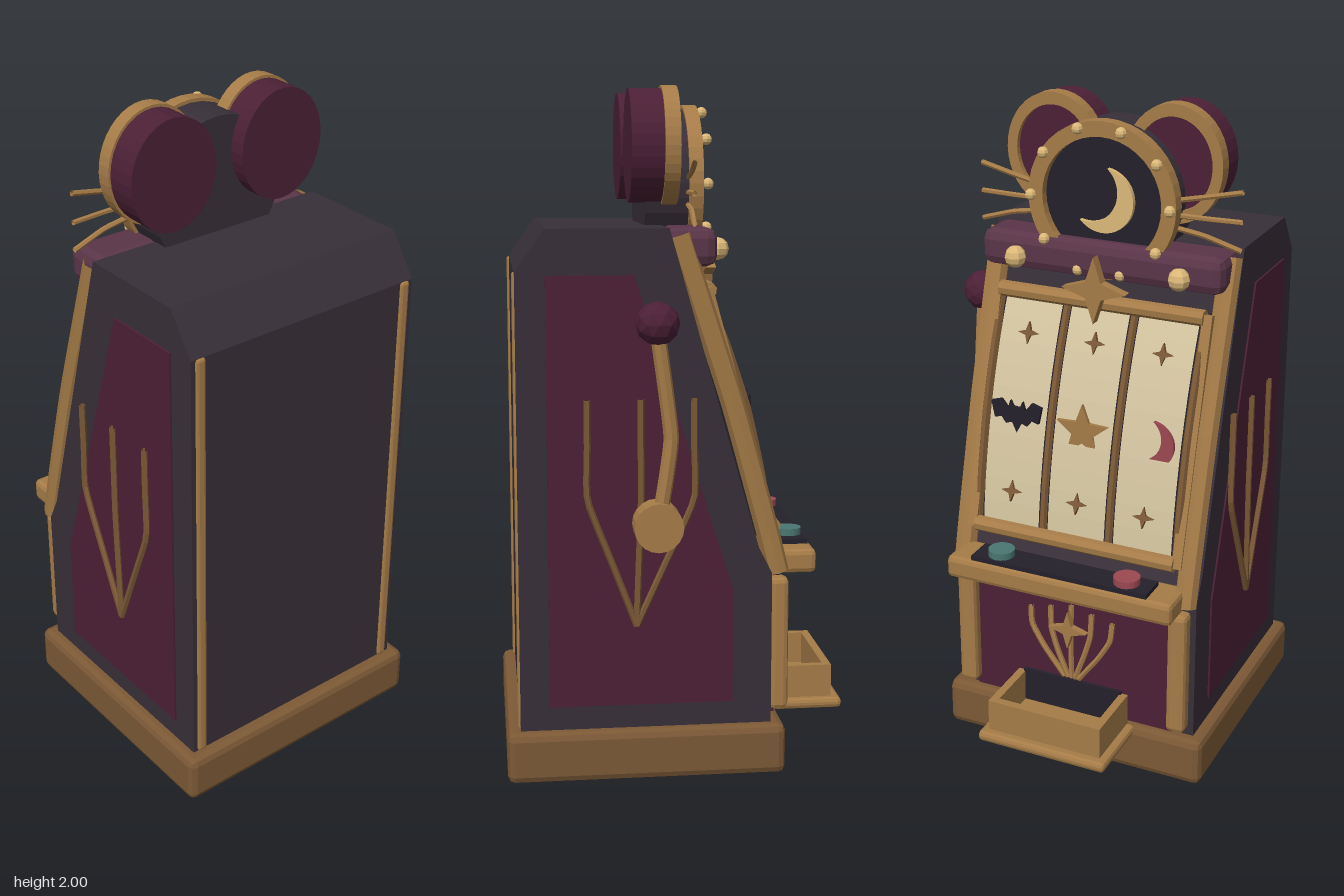
import * as THREE from 'three';
import { RoundedBoxGeometry } from 'three/addons/geometries/RoundedBoxGeometry.js';

const mat = (color, side = THREE.DoubleSide) => new THREE.MeshStandardMaterial({ color, side, flatShading: true });
const gold = mat(0xa67c48), bronze = mat(0x7c5936), dark = mat(0x382f38), plum = mat(0x4c2036);
const wine = mat(0x5a3548), black = mat(0x24202b), cream = mat(0xd4c5a0), brass = mat(0xdcb878);
const rose = mat(0x9c4852), teal = mat(0x4a7672);

const V = (x, y, z) => new THREE.Vector3(x, y, z);
const box = (w, h, d, bevel = 0) =>
  bevel ? new RoundedBoxGeometry(w, h, d, 1, bevel) : new THREE.BoxGeometry(w, h, d);
const disc = (r, depth, n = 32) => new THREE.CylinderGeometry(r, r, depth, n).rotateX(Math.PI / 2);
const ball = (r) => new THREE.SphereGeometry(r, 8, 6);
const plate = (shape, depth) =>
  new THREE.ExtrudeGeometry(shape, { depth, bevelEnabled: false, curveSegments: 20 }).translate(0, 0, -depth / 2);
const poly = (pts) => new THREE.Shape(pts.map(([x, y]) => new THREE.Vector2(x, y)));
// Side profile given as [z, y], extruded across the width
const sideProfile = (pts, width) => plate(poly(pts), width).rotateY(-Math.PI / 2);
const tube = (pts, r, n = 8, segs = 20) =>
  new THREE.TubeGeometry(new THREE.CatmullRomCurve3(pts, false, 'catmullrom', 0.25), segs, r, n);

function starShape(points, R, r) {
  const pts = [];
  for (let i = 0; i < points * 2; i++) {
    const a = Math.PI / 2 + (i * Math.PI) / points, q = i % 2 ? r : R;
    pts.push([q * Math.cos(a), q * Math.sin(a)]);
  }
  return poly(pts);
}
function crescentShape(R) {
  const s = new THREE.Shape();
  s.absarc(0, 0, R, -1.92, 1.92, false);
  s.absarc(-0.55 * R, 0, 0.963 * R, 1.353, -1.353, true);
  return s;
}
function ringShape(R, r) {
  const s = new THREE.Shape().absarc(0, 0, R, 0, Math.PI * 2, false);
  s.holes.push(new THREE.Path().absarc(0, 0, r, 0, Math.PI * 2, true));
  return s;
}
function batShape() {
  const half = [[0.012, 0.032], [0.02, 0.05], [0.028, 0.022], [0.05, 0.05], [0.083, 0.04],
    [0.072, -0.012], [0.05, -0.005], [0.035, -0.025], [0.015, -0.018]];
  const left = half.map(([x, y]) => [-x, y]).reverse();
  return poly([...half, [0, -0.05], ...left, [0, 0.03]]);
}

export function createModel() {
  const root = new THREE.Group();
  root.name = 'slotMachine';
  // The machine is built facing +z, then turned so its reels face -z
  const m = new THREE.Group();
  m.name = 'machine';
  m.rotation.y = Math.PI;
  m.position.x = -0.055;
  root.add(m);
  const add = (name, geo, material, x = 0, y = 0, z = 0, parent = m) => {
    const mesh = new THREE.Mesh(geo, material);
    mesh.name = name;
    mesh.position.set(x, y, z);
    parent.add(mesh);
    return mesh;
  };

  // Plinth and cabinet
  add('base', box(0.86, 0.15, 0.815, 0.022), bronze, 0, 0.075, -0.107);
  add('cabinet', sideProfile([[-0.475, 0.14], [-0.475, 1.48], [-0.39, 1.6], [-0.04, 1.6],
    [0.22, 0.68], [0.26, 0.6], [0.26, 0.14]], 0.785), dark);

  // Side panels, claw marks, rails and trims
  const panel = [[-0.39, 0.22], [-0.39, 1.47], [-0.14, 1.47], [0.1, 0.7], [0.145, 0.56], [0.145, 0.22]];
  for (const s of [-1, 1]) {
    add('sidePanel', sideProfile(panel, 0.01), plum, s * 0.393);
    for (const k of [-1, 0, 1]) {
      const z = -0.123 + k * 0.153, x = s * 0.404;
      add('sideClaw', tube([V(x, 1.12, z), V(x, 0.98, z), V(x, 0.83, z),
        V(x, 0.64, -0.13 + k * 0.075), V(x, 0.46, -0.137)], 0.01, 6), bronze);
    }
    add('slantRail', tube([V(s * 0.365, 1.58, -0.01), V(s * 0.365, 1.1, 0.145), V(s * 0.365, 0.72, 0.25),
      V(s * 0.365, 0.6, 0.28)], 0.034), gold);
    add('frontPost', box(0.06, 0.4, 0.055, 0.015), gold, s * 0.35, 0.38, 0.287);
    add('backTrim', box(0.032, 1.33, 0.035, 0.008), gold, s * 0.362, 0.815, -0.465);
  }

  // Tilted reel window
  const win = new THREE.Group();
  win.name = 'reelWindow';
  win.position.set(0, 1.07, 0.165);
  win.rotation.x = -0.27;
  m.add(win);
  const bulge = (y) => 0.03 * (1 - (y / 0.35) ** 2);
  add('windowBack', box(0.68, 0.74, 0.04), black, 0, 0, -0.03, win);
  for (const x of [-0.215, 0, 0.215]) {
    const reel = new THREE.PlaneGeometry(0.185, 0.7, 1, 10);
    const p = reel.attributes.position;
    for (let i = 0; i < p.count; i++) p.setZ(i, bulge(p.getY(i)));
    add('reel', reel, cream, x, 0, 0, win);
    for (const y of [-0.24, 0.24]) {
      add('reelSpark', plate(starShape(4, 0.033, 0.011), 0.012), bronze, x, y, bulge(y) + 0.004, win);
    }
  }
  for (const x of [-0.3235, -0.1075, 0.1075, 0.3235]) {
    const line = [-0.35, -0.2, 0, 0.2, 0.35].map((y) => V(x, y, bulge(y)));
    add('reelDivider', tube(line, 0.012, 6), bronze, 0, 0, 0, win);
  }
  for (const s of [-1, 1]) {
    add('windowSide', box(0.03, 0.74, 0.045), gold, s * 0.335, 0, 0, win);
    add('windowBar', new THREE.CylinderGeometry(0.024, 0.024, 0.65, 8).rotateZ(Math.PI / 2),
      gold, 0, s * 0.36, 0.012, win);
  }
  add('batSymbol', plate(batShape(), 0.012), black, -0.215, 1.07, 0.204);
  add('starSymbol', plate(starShape(5, 0.086, 0.036), 0.012), gold, 0, 1.06, 0.204);
  add('moonSymbol', plate(crescentShape(0.075), 0.012), rose, 0.215, 1.06, 0.204).rotation.z = -0.5;

  // Control deck with two buttons
  add('controlDeck', box(0.73, 0.07, 0.135, 0.015), gold, 0, 0.625, 0.33);
  add('deckPanel', box(0.57, 0.02, 0.09), black, 0, 0.664, 0.34);
  for (const s of [-1, 1]) {
    add('button', new THREE.CylinderGeometry(0.04, 0.04, 0.03, 20), s < 0 ? teal : rose, s * 0.205, 0.68, 0.34);
  }

  // Lower front panel with fanned claws and spark
  add('lowerPanel', box(0.66, 0.42, 0.03), plum, 0, 0.37, 0.265);
  for (let k = -2; k <= 2; k++) {
    add('frontClaw', tube([V(k * 0.012, 0.27, 0.288), V(k * 0.045, 0.36, 0.292), V(k * 0.065, 0.43, 0.292),
      V(k * 0.068, 0.52 - Math.abs(k) * 0.015, 0.288)], 0.009, 6), gold);
  }
  add('frontSpark', plate(starShape(4, 0.062, 0.02), 0.02), gold, 0, 0.45, 0.31);

  // Payout tray
  add('trayFloor', box(0.42, 0.032, 0.24, 0.012), gold, 0, 0.134, 0.395);
  add('trayOpening', box(0.33, 0.11, 0.02), black, 0, 0.205, 0.28);
  add('trayLip', box(0.37, 0.11, 0.025), gold, 0, 0.195, 0.473);
  for (const s of [-1, 1]) add('traySide', box(0.025, 0.11, 0.21), gold, s * 0.1725, 0.195, 0.38);

  // Marquee with lamps and hanging spark
  add('marquee', box(0.76, 0.11, 0.15, 0.03), wine, 0, 1.545, 0.025);
  for (const s of [-1, 1]) add('marqueeLamp', ball(0.033), brass, s * 0.257, 1.535, 0.115);
  add('marqueeSpark', plate(starShape(4, 0.1, 0.035), 0.032), gold, 0, 1.47, 0.118);

  // Round head with moon medallion and bulbs
  add('head', disc(0.22, 0.13), dark, 0, 1.72, -0.025);
  add('medallionRing', plate(ringShape(0.23, 0.185), 0.042), gold, 0, 1.72, 0.058);
  add('medallionFace', disc(0.19, 0.025), black, 0, 1.72, 0.04);
  add('medallionMoon', plate(crescentShape(0.095), 0.016), brass, 0, 1.72, 0.06).rotation.z = -0.5;
  for (let i = 0; i < 10; i++) {
    const a = (i * Math.PI) / 5;
    add('bulb', ball(0.017), brass, 0.216 * Math.cos(a), 1.72 + 0.216 * Math.sin(a), 0.092);
  }

  // Ears and whiskers
  for (const s of [-1, 1]) {
    const rim = add('earRim', plate(ringShape(0.171, 0.135), 0.045), gold, s * 0.187, 1.829, -0.022);
    const ear = add('ear', disc(0.163, 0.122), plum, s * 0.187, 1.829, -0.078);
    rim.scale.x = ear.scale.x = 0.87;
    for (const [y0, y1, y2] of [[1.735, 1.757, 1.78], [1.695, 1.695, 1.695], [1.66, 1.645, 1.612]]) {
      add('whisker', tube([V(s * 0.2, y0, 0.035), V(s * 0.3, y1, 0.035), V(s * 0.407, y2, 0.028)], 0.008, 6, 10), gold);
    }
  }

  // Pull lever
  add('leverHub', new THREE.CylinderGeometry(0.07, 0.07, 0.08, 20).rotateZ(Math.PI / 2), gold, -0.475, 0.77, -0.083);
  add('leverArm', tube([V(-0.475, 0.78, -0.08), V(-0.475, 0.9, -0.06), V(-0.475, 1.02, -0.045),
    V(-0.475, 1.15, -0.06), V(-0.475, 1.31, -0.082)], 0.022), gold);
  add('leverKnob', new THREE.IcosahedronGeometry(0.063, 1), plum, -0.475, 1.342, -0.083);

  return root;
}
